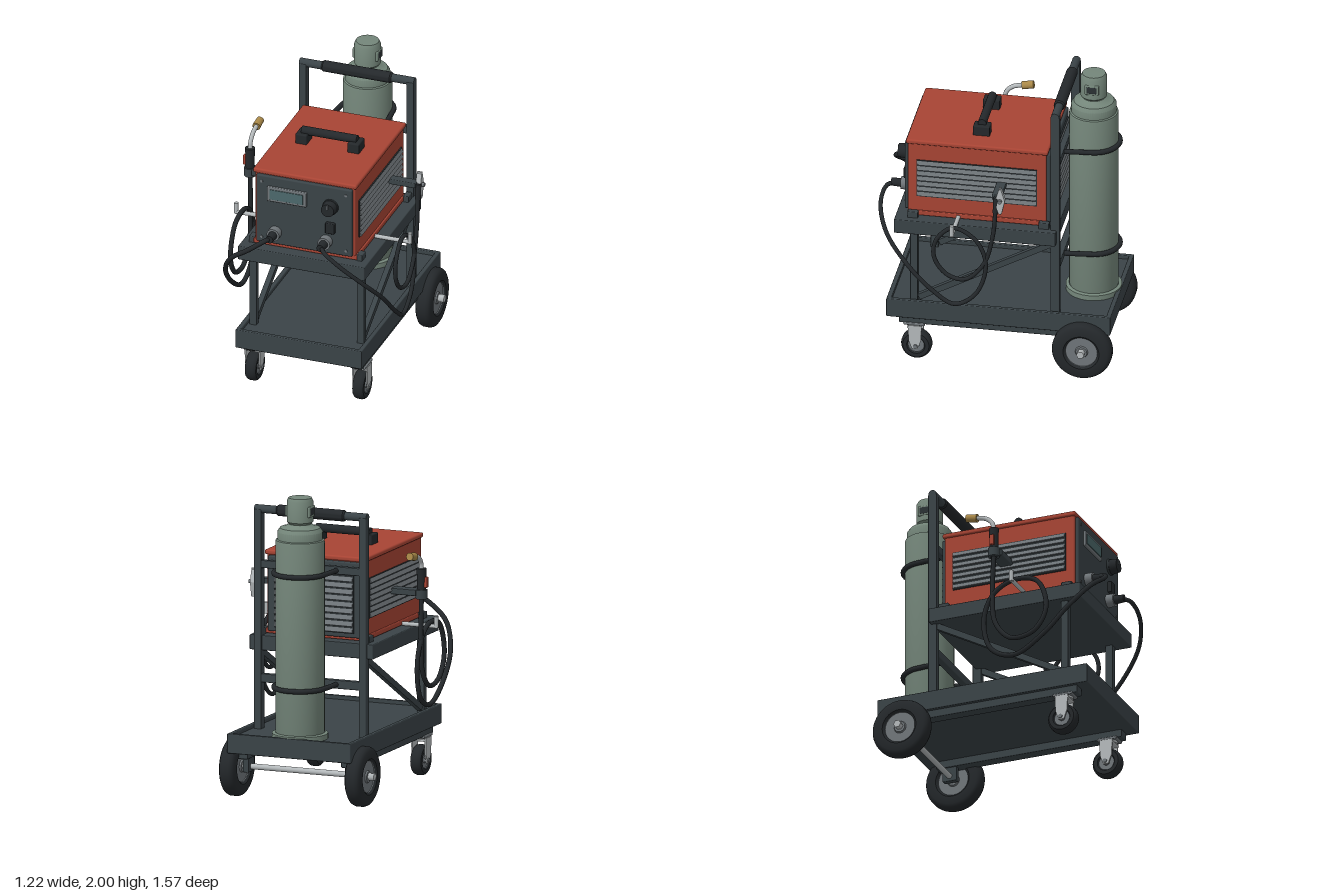
import * as THREE from 'three';
import { toCreasedNormals } from 'three/addons/utils/BufferGeometryUtils.js';
import { RoundedBoxGeometry } from 'three/addons/geometries/RoundedBoxGeometry.js';

const mat = (color) => new THREE.MeshStandardMaterial({ color });
const FRAME = mat(0x3a4347), RUBBER = mat(0x24282b), RED = mat(0xa84434), GREEN = mat(0x74867a);
const SILVER = mat(0xb4b9bb), STEEL = mat(0x70767a), BRASS = mat(0xa98848), SCREEN = mat(0x4c686b), DARK = mat(0x2b3134);
const V = (x, y, z) => new THREE.Vector3(x, y, z);

export function createModel() {
  const model = new THREE.Group();

  const add = (name, geo, material, x = 0, y = 0, z = 0, parent = model) => {
    const m = new THREE.Mesh(geo, material);
    m.name = name;
    m.position.set(x, y, z);
    parent.add(m);
    return m;
  };
  // Box given by its min and max corners
  const box = (name, material, x0, x1, y0, y1, z0, z1, r = 0.006, parent = model) => {
    const s = [x1 - x0, y1 - y0, z1 - z0];
    const geo = r ? new RoundedBoxGeometry(...s, 2, Math.min(r, Math.min(...s) * 0.45)) : new THREE.BoxGeometry(...s);
    return add(name, geo, material, (x0 + x1) / 2, (y0 + y1) / 2, (z0 + z1) / 2, parent);
  };
  // Round bar between two points
  const rod = (name, material, a, b, r, r2 = r, seg = 24) => {
    const d = b.clone().sub(a);
    const m = add(name, new THREE.CylinderGeometry(r2, r, d.length(), seg), material);
    m.position.copy(a).addScaledVector(d, 0.5);
    m.quaternion.setFromUnitVectors(V(0, 1, 0), d.normalize());
    return m;
  };
  const lathe = (pts, seg = 48) =>
    toCreasedNormals(new THREE.LatheGeometry(pts.map((p) => new THREE.Vector2(...p)), seg), 0.6);
  const tube = (name, material, pts, r, seg = 160) =>
    add(name, new THREE.TubeGeometry(new THREE.CatmullRomCurve3(pts.map((p) => V(...p))), seg, r, 10), material);

  // Lower tray: floor and four rims
  box('trayFloor', FRAME, -0.42, 0.42, 0.31, 0.415, -0.76, 0.68, 0);
  for (const s of [-1, 1]) {
    box('traySideRim', FRAME, s * 0.42 - 0.015, s * 0.42 + 0.015, 0.31, 0.44, -0.77, 0.7);
    box('underRail', FRAME, s * 0.37 - 0.04, s * 0.37 + 0.04, 0.26, 0.315, -0.68, 0.62);
  }
  box('trayFrontRim', FRAME, -0.435, 0.435, 0.31, 0.44, 0.67, 0.7);
  box('trayRearRim', FRAME, -0.435, 0.435, 0.31, 0.44, -0.77, -0.74);

  // Upper shelf and frame
  box('shelf', FRAME, -0.435, 0.435, 0.93, 1.028, -0.41, 0.65);
  for (const s of [-1, 1]) {
    const x = s * 0.37;
    box('rearPost', FRAME, x - 0.025, x + 0.025, 0.4, 1.86, -0.43, -0.37);
    box('frontPost', FRAME, x - 0.025, x + 0.025, 0.4, 0.94, 0.5, 0.55);
    const brace = add('diagonalBrace', new THREE.BoxGeometry(0.035, 0.04, 1.0), FRAME, x, 0.685, 0.055);
    brace.rotation.x = Math.atan2(0.48, 0.88);
    box('cornerClip', FRAME, x - 0.02, x + 0.02, 1.02, 1.07, 0.5, 0.57);
    box('cornerClip', FRAME, x - 0.02, x + 0.02, 1.02, 1.07, -0.36, -0.29);
  }
  box('crossbar', FRAME, -0.35, 0.35, 0.722, 0.778, -0.425, -0.38);
  box('crossbar', FRAME, -0.35, 0.35, 1.475, 1.525, -0.425, -0.385);
  rod('pushBar', FRAME, V(-0.395, 1.86, -0.4), V(0.395, 1.86, -0.4), 0.027);
  const grip = add('pushGrip', lathe([[0, -0.24], [0.03, -0.24], [0.037, -0.23], [0.037, 0.23], [0.03, 0.24], [0, 0.24]], 32), RUBBER, 0, 1.86, -0.4);
  grip.rotation.z = Math.PI / 2;

  // Wheels: lathed tyre, rim disc and hub, turned onto the x axis
  const wheel = (name, R, w, x, y, z) => {
    const g = new THREE.Group();
    g.name = name;
    const h = w / 2, ri = R * 0.53;
    add('tyre', lathe([[ri, -h * 0.75], [R * 0.6, -h], [R * 0.86, -h], [R * 0.96, -h * 0.75], [R, -h * 0.4], [R, h * 0.4],
      [R * 0.96, h * 0.75], [R * 0.86, h], [R * 0.6, h], [ri, h * 0.75]]), RUBBER, 0, 0, 0, g);
    add('rim', lathe([[0, -h * 0.85], [ri * 0.35, -h * 0.85], [ri * 0.4, -h * 0.65], [ri, -h * 0.65], [ri * 1.03, -h * 0.8],
      [ri * 1.03, h * 0.8], [ri, h * 0.65], [ri * 0.4, h * 0.65], [ri * 0.35, h * 0.85], [0, h * 0.85]]), STEEL, 0, 0, 0, g);
    g.rotation.z = Math.PI / 2;
    g.position.set(x, y, z);
    model.add(g);
  };
  rod('axle', SILVER, V(-0.51, 0.2, -0.59), V(0.51, 0.2, -0.59), 0.019);
  const forkShape = new THREE.Shape([[-0.045, 0.25], [0.045, 0.25], [0.04, 0.14], [0.018, 0.08], [-0.018, 0.08], [-0.04, 0.14]]
    .map((p) => new THREE.Vector2(...p)));
  for (const s of [-1, 1]) {
    wheel('rearWheel', 0.197, 0.105, s * 0.443, 0.197, -0.59);
    rod('axleNut', SILVER, V(s * 0.49, 0.2, -0.59), V(s * 0.53, 0.2, -0.59), 0.026, 0.026, 6);
    box('axleBracket', FRAME, s * 0.36 - 0.02, s * 0.36 + 0.02, 0.165, 0.31, -0.64, -0.54);
    const x = s * 0.37;
    wheel('casterWheel', 0.1, 0.075, x, 0.1, 0.51);
    box('casterPlate', STEEL, x - 0.05, x + 0.05, 0.25, 0.268, 0.45, 0.59);
    rod('casterSwivel', SILVER, V(x, 0.235, 0.53), V(x, 0.252, 0.53), 0.045);
    box('casterForkTop', SILVER, x - 0.052, x + 0.052, 0.225, 0.24, 0.475, 0.565);
    rod('casterAxle', STEEL, V(x - 0.06, 0.1, 0.51), V(x + 0.06, 0.1, 0.51), 0.014, 0.014, 12);
    for (const t of [-1, 1]) {
      const side = add('casterFork', new THREE.ExtrudeGeometry(forkShape, { depth: 0.01, bevelEnabled: false }), SILVER, x + t * 0.047 - 0.005, 0, 0.515);
      side.rotation.y = Math.PI / 2;
    }
  }

  // Gas cylinder with cap, base ring and straps
  const gz = -0.585;
  add('gasCylinder', lathe([[0, 0.415], [0.145, 0.415], [0.16, 0.46], [0.16, 1.705], [0.157, 1.72], [0.147, 1.725], [0.147, 1.775],
    [0.13, 1.8], [0.1, 1.805], [0.075, 1.825], [0, 1.825]], 64), GREEN, 0, 0, gz);
  add('cylinderCap', lathe([[0, 1.8], [0.065, 1.8], [0.07, 1.825], [0.086, 1.84], [0.086, 1.975], [0.075, 1.997], [0, 2]]), GREEN, 0, 0, gz);
  add('cylinderBaseRing', lathe([[0.16, 0.41], [0.182, 0.41], [0.182, 0.45], [0.16, 0.455]]), GREEN, 0, 0, gz);
  for (const s of [-1, 1]) {
    box('capWindowFrame', GREEN, s * 0.078 - 0.01, s * 0.078 + 0.01, 1.875, 1.945, gz - 0.047, gz + 0.047, 0.008);
    box('capWindow', DARK, s * 0.08 - 0.01, s * 0.08 + 0.01, 1.885, 1.935, gz - 0.036, gz + 0.036, 0.008);
  }
  for (const y of [0.75, 1.5]) {
    const arc = Array.from({ length: 13 }, (_, i) => [0.17 * Math.cos(i * Math.PI / 12), y, gz - 0.17 * Math.sin(i * Math.PI / 12)]);
    tube('cylinderStrap', RUBBER, [[0.185, y, -0.4], [0.178, y, -0.5], ...arc, [-0.178, y, -0.5], [-0.185, y, -0.4]], 0.017, 64);
  }

  // Power unit housing
  box('housing', RED, -0.345, 0.345, 1.03, 1.56, -0.335, 0.575, 0.01);
  box('lid', RED, -0.357, 0.357, 1.55, 1.582, -0.347, 0.585, 0.012);
  for (const s of [-1, 1]) box('sideSkirt', RED, s * 0.345 - 0.011, s * 0.345 + 0.011, 1.032, 1.065, -0.335, 0.575);
  box('frontPanel', FRAME, -0.33, 0.33, 1.06, 1.547, 0.56, 0.598, 0.01);
  box('rearPanel', FRAME, -0.33, 0.33, 1.05, 1.547, -0.36, -0.32, 0.01);

  // Louvre panel facing +z, placed by position and turn
  const louvre = (name, w, h, n, x, y, z, turn) => {
    const g = new THREE.Group();
    g.name = name;
    add('backing', new THREE.BoxGeometry(w, h, 0.012), DARK, 0, 0, 0, g);
    for (let i = 0; i < n; i++) {
      const slat = add('slat', new THREE.BoxGeometry(w - 0.01, h / n * 0.72, 0.008), STEEL, 0, h * ((i + 0.5) / n - 0.5), 0.009, g);
      slat.rotation.x = -0.4;
    }
    g.position.set(x, y, z);
    g.rotation.y = turn;
    model.add(g);
  };
  for (const s of [-1, 1]) louvre('sideLouvre', 0.79, 0.265, 7, s * 0.347, 1.303, 0.12, s * Math.PI / 2);
  louvre('rearLouvre', 0.56, 0.42, 10, 0, 1.29, -0.363, Math.PI);

  // Carry handle
  for (const s of [-1, 1]) box('handleFoot', RUBBER, s * 0.18 - 0.04, s * 0.18 + 0.04, 1.575, 1.648, 0.06, 0.17, 0.008);
  rod('handleBar', RUBBER, V(-0.19, 1.657, 0.115), V(0.19, 1.657, 0.115), 0.028);

  // Front controls
  box('displayBezel', STEEL, -0.25, 0.022, 1.375, 1.48, 0.59, 0.615);
  box('displayScreen', SCREEN, -0.228, 0, 1.392, 1.463, 0.6, 0.619, 0.002);
  rod('knobBase', DARK, V(0.185, 1.405, 0.59), V(0.185, 1.405, 0.612), 0.054);
  rod('knob', RUBBER, V(0.185, 1.405, 0.61), V(0.185, 1.405, 0.662), 0.05, 0.044);
  box('knobPointer', STEEL, 0.181, 0.189, 1.415, 1.445, 0.655, 0.665, 0);
  box('powerSwitch', RUBBER, 0.155, 0.217, 1.217, 1.292, 0.59, 0.625);
  for (const x of [-0.29, 0.29]) for (const y of [1.1, 1.505]) rod('panelScrew', STEEL, V(x, y, 0.59), V(x, y, 0.603), 0.009);
  for (const x of [-0.195, 0.155]) {
    rod('socket', STEEL, V(x, 1.15, 0.59), V(x, 1.15, 0.65), 0.043);
    rod('plug', RUBBER, V(x, 1.15, 0.64), V(x, 1.15, 0.715), 0.03, 0.025);
  }

  // Cable hooks
  for (const s of [-1, 1]) {
    rod('cableHook', SILVER, V(s * 0.36, 1.045, 0.24), V(s * 0.6, 1.045, 0.24), 0.014);
    rod('cableHookTip', SILVER, V(s * 0.598, 1.035, 0.24), V(s * 0.598, 1.11, 0.24), 0.014);
  }

  // Cables, each looped once over its hook
  tube('clampCable', RUBBER, [[0.155, 1.15, 0.69], [0.19, 1.14, 0.74], [0.3, 1.07, 0.76], [0.44, 0.94, 0.7], [0.53, 0.78, 0.56],
    [0.55, 0.6, 0.38], [0.55, 0.51, 0.23], [0.55, 0.6, 0.09], [0.55, 0.82, 0.025], [0.55, 0.99, 0.09], [0.545, 1.066, 0.24],
    [0.545, 0.97, 0.35], [0.545, 0.84, 0.365], [0.545, 0.72, 0.28], [0.55, 0.7, 0.16], [0.55, 0.82, 0.04], [0.55, 1.03, -0.02], [0.55, 1.24, -0.04]], 0.014);
  tube('torchCable', RUBBER, [[-0.195, 1.15, 0.69], [-0.23, 1.14, 0.74], [-0.32, 1.08, 0.77], [-0.45, 0.98, 0.73], [-0.535, 0.82, 0.61],
    [-0.555, 0.65, 0.45], [-0.555, 0.53, 0.24], [-0.555, 0.6, 0.08], [-0.555, 0.82, 0.03], [-0.555, 0.99, 0.1], [-0.55, 1.066, 0.24],
    [-0.55, 1.03, 0.4], [-0.555, 0.83, 0.465], [-0.555, 0.68, 0.38], [-0.555, 0.655, 0.22], [-0.555, 0.78, 0.11], [-0.555, 1.0, 0.09], [-0.555, 1.27, 0.1]], 0.016);

  // Torch in its holder
  box('torchBracket', FRAME, -0.53, -0.34, 1.27, 1.31, 0.06, 0.145);
  rod('torchHolder', FRAME, V(-0.555, 1.25, 0.1), V(-0.555, 1.31, 0.1), 0.038);
  rod('torchHandle', RUBBER, V(-0.555, 1.25, 0.1), V(-0.555, 1.45, 0.1), 0.027, 0.032);
  box('torchTrigger', RED, -0.6, -0.575, 1.325, 1.395, 0.085, 0.115);
  tube('torchNeck', SILVER, [[-0.555, 1.44, 0.1], [-0.555, 1.49, 0.09], [-0.555, 1.53, 0.05], [-0.555, 1.55, -0.02]], 0.015, 24);
  rod('torchNozzle', BRASS, V(-0.555, 1.547, -0.015), V(-0.555, 1.56, -0.09), 0.027, 0.025);

  // Earth clamp on its bracket
  box('clampBracket', FRAME, 0.34, 0.54, 1.297, 1.333, -0.075, -0.012);
  const jaw = new THREE.Shape([[-0.006, -0.1], [0.012, -0.09], [0.032, 0], [0.01, 0.075], [-0.006, 0.09], [-0.012, 0]]
    .map((p) => new THREE.Vector2(...p)));
  const clamp = new THREE.Group();
  clamp.name = 'earthClamp';
  for (const s of [0, 1]) {
    const m = add('clampJaw', new THREE.ExtrudeGeometry(jaw, { depth: 0.034, bevelEnabled: false }), SILVER, 0, 0, s ? 0.017 : -0.017, clamp);
    m.rotation.y = s * Math.PI;
  }
  add('clampPivot', new THREE.CylinderGeometry(0.014, 0.014, 0.07, 16), STEEL, 0, 0, 0, clamp).rotation.x = Math.PI / 2;
  clamp.position.set(0.55, 1.305, -0.07);
  clamp.rotation.y = Math.PI / 2;
  model.add(clamp);
  rod('clampGrip', RUBBER, V(0.55, 1.21, -0.038), V(0.55, 1.32, -0.045), 0.018, 0.02);
  return model;
}
